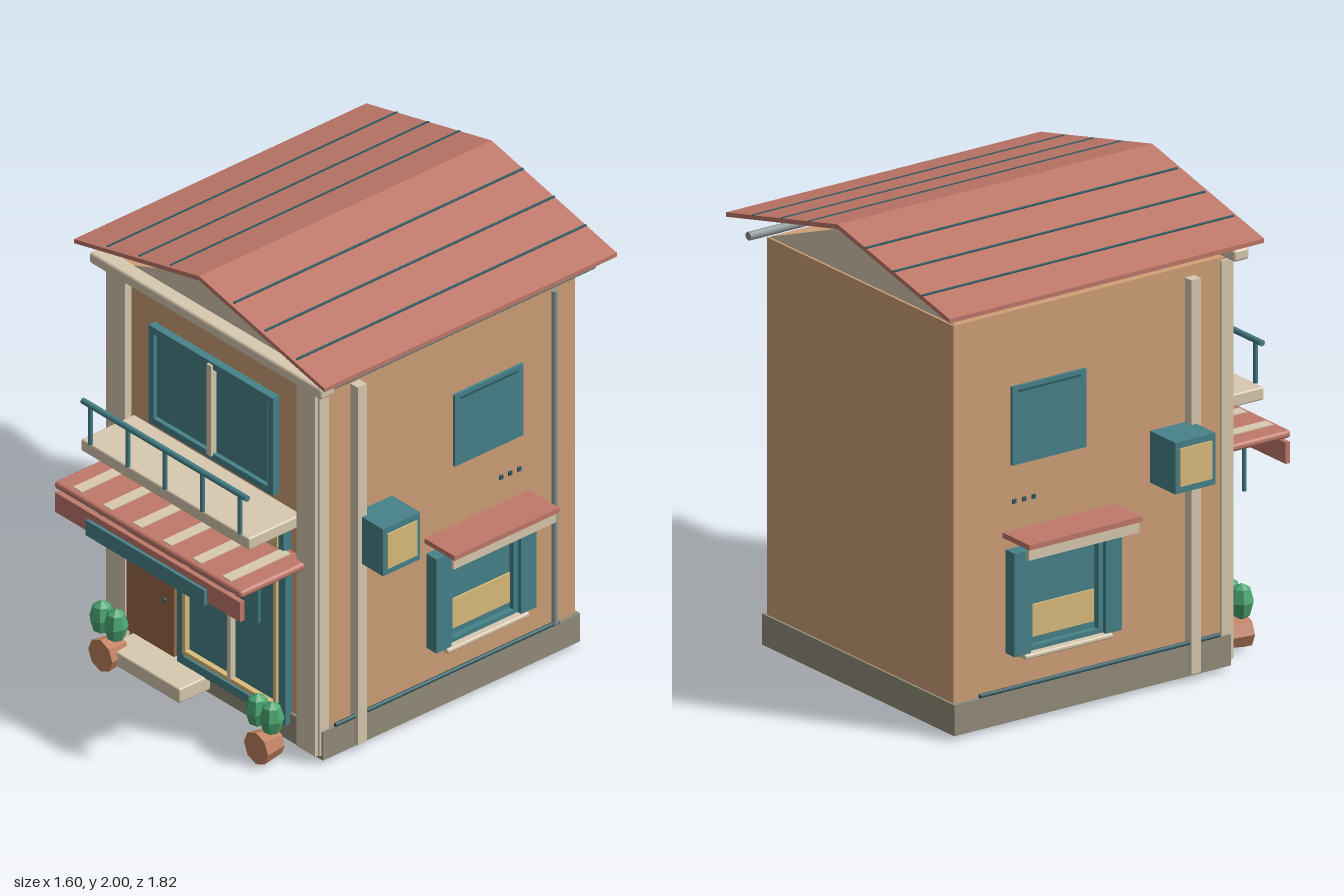
import * as THREE from 'three';
import { RoundedBoxGeometry } from 'three/addons/geometries/RoundedBoxGeometry.js';

const mat = (color, extra = {}) => new THREE.MeshStandardMaterial({ color, ...extra });
const M = {
  wall: mat(0xcfa077), cream: mat(0xd9cab0, { side: THREE.DoubleSide }), stone: mat(0x938d7b),
  teal: mat(0x47828a), dark: mat(0x2f5a62), clay: mat(0xc0796a), yellow: mat(0xdcbd7c),
  door: mat(0x9c6849), pot: mat(0xc08060, { flatShading: true }),
  leaf: mat(0x4ca673, { flatShading: true }), pipe: mat(0x8d9696),
};

export function createModel() {
  const root = new THREE.Group();
  root.name = 'shopHouse';

  const add = (name, geo, m, x = 0, y = 0, z = 0) => {
    const mesh = new THREE.Mesh(geo, m);
    mesh.name = name;
    mesh.position.set(x, y, z);
    root.add(mesh);
    return mesh;
  };
  // Box given by its extents; bevel > 0 rounds the edges
  const box = (name, m, x0, x1, y0, y1, z0, z1, bevel = 0) => {
    const s = [Math.abs(x1 - x0), y1 - y0, Math.abs(z1 - z0)];
    const geo = bevel ? new RoundedBoxGeometry(...s, 2, bevel) : new THREE.BoxGeometry(...s);
    return add(name, geo, m, (x0 + x1) / 2, (y0 + y1) / 2, (z0 + z1) / 2);
  };
  // Round bar along an axis
  const bar = (name, m, r, len, axis, x, y, z) => {
    const mesh = add(name, new THREE.CylinderGeometry(r, r, len, 10), m, x, y, z);
    if (axis === 'x') mesh.rotation.z = Math.PI / 2;
    if (axis === 'z') mesh.rotation.x = Math.PI / 2;
    return mesh;
  };
  // Four bars around a rectangle on the front wall
  const frame = (name, m, x0, x1, y0, y1, w, z0, z1) => {
    box(name, m, x0, x0 + w, y0, y1, z0, z1);
    box(name, m, x1 - w, x1, y0, y1, z0, z1);
    box(name, m, x0 + w, x1 - w, y1 - w, y1, z0, z1);
    box(name, m, x0 + w, x1 - w, y0, y0 + w, z0, z1);
  };

  // Walls, plinth and cornice
  box('walls', M.wall, -0.62, 0.62, 0.1, 1.735, -0.8, 0.53);
  box('plinth', M.stone, -0.64, 0.64, 0.02, 0.15, -0.81, 0.54);
  box('cornice', M.cream, -0.69, 0.69, 1.73, 1.78, 0.52, 0.595, 0.012);

  // Gables at both ends
  const tri = new THREE.Shape([[-0.62, 1.735], [0.62, 1.735], [0, 1.967]].map(p => new THREE.Vector2(...p)));
  for (const [name, z] of [['frontGable', 0.53], ['backGable', -0.79]])
    add(name, new THREE.ShapeGeometry(tri), M.cream, 0, 0, z);

  // Pitched roof with seams
  const chevron = new THREE.Shape([[-0.745, 1.808], [0, 1.98], [0.745, 1.808], [0.745, 1.826], [0, 2], [-0.745, 1.826]]
    .map(p => new THREE.Vector2(...p)));
  add('roof', new THREE.ExtrudeGeometry(chevron, { depth: 1.535, bevelEnabled: false }), M.clay, 0, 0, -0.91);
  const pitch = Math.atan2(0.174, 0.745);
  for (const s of [-1, 1]) for (const x of [0.188, 0.373, 0.562]) {
    const seam = add('roofSeam', new THREE.BoxGeometry(0.01, 0.008, 1.52), M.dark, s * x, 2 - x * 0.2336, -0.15);
    seam.rotation.z = -s * pitch;
  }

  // Parts repeated on both sides
  for (const s of [-1, 1]) {
    const side = (name, m, x0, x1, ...rest) => box(name, m, s * x0, s * x1, ...rest);
    side('cornerPilaster', M.cream, 0.51, 0.622, 0.04, 1.725, 0.5, 0.565);
    side('pilasterEdge', M.cream, 0.595, 0.632, 0.04, 1.725, 0.5, 0.55);
    side('sideStrip', M.cream, 0.61, 0.663, 0.035, 1.69, 0.33, 0.377);
    bar('baseRail', M.dark, 0.009, 1.17, 'z', s * 0.645, 0.163, -0.105);

    // Projecting lamp box
    side('lampBox', M.teal, 0.62, 0.788, 0.866, 1.083, 0.16, 0.355);
    side('lampPanel', M.yellow, 0.78, 0.795, 0.895, 1.055, 0.18, 0.335);

    // Lower side window
    side('sideWindowGlass', M.teal, 0.61, 0.635, 0.305, 0.74, -0.545, -0.02);
    for (const [a, b] of [[-0.1, -0.02], [-0.545, -0.465]])
      side('sideShutter', M.teal, 0.62, 0.68, 0.305, 0.74, a, b);
    for (const [a, b] of [[-0.122, -0.1], [-0.465, -0.443]])
      side('sideWindowJamb', M.teal, 0.62, 0.66, 0.305, 0.74, a, b);
    side('sideWindowHead', M.teal, 0.62, 0.66, 0.715, 0.74, -0.465, -0.1);
    side('sideWindowFoot', M.teal, 0.62, 0.66, 0.305, 0.325, -0.465, -0.1);
    side('sideWindowBlind', M.yellow, 0.62, 0.643, 0.355, 0.49, -0.44, -0.13);
    side('sideSill', M.cream, 0.61, 0.692, 0.285, 0.306, -0.5, -0.07, 0.008);
    side('sideAwning', M.clay, 0.61, 0.8, 0.793, 0.815, -0.56, -0.01);
    side('sideAwningValance', M.cream, 0.772, 0.788, 0.745, 0.793, -0.555, -0.015);

    // Upper side window and vents
    side('upperSideWindow', M.teal, 0.61, 0.632, 1.09, 1.42, -0.52, -0.16);
    side('upperSideWindowBar', M.dark, 0.62, 0.637, 1.395, 1.402, -0.49, -0.19);
    for (const z of [-0.41, -0.457, -0.505])
      side('vent', M.dark, 0.61, 0.627, 0.926, 0.944, z - 0.009, z + 0.009);

    // Awning bracket
    bar('awningBracket', M.teal, 0.009, 0.21, 'y', s * 0.47, 0.765, 0.73);

    // Plant in a tilted octagonal pot
    const x = s * 0.463;
    const pot = add('plantPot', new THREE.CylinderGeometry(0.072, 0.058, 0.1, 8), M.pot, x, 0.074, 0.685);
    pot.rotation.x = Math.PI / 2;
    for (const d of [-0.042, 0.042]) {
      const leaf = add('plantLeaves', new THREE.SphereGeometry(0.05, 7, 4), M.leaf, x + d, 0.216, 0.69);
      leaf.scale.set(1, 1.55, 1.05);
      leaf.rotation.y = d * 10;
    }
  }

  // Gutter and downpipe
  bar('gutter', M.pipe, 0.018, 1.4, 'z', 0.65, 1.745, -0.17);
  bar('downpipe', M.pipe, 0.013, 1.54, 'y', 0.648, 0.935, -0.67);

  // Upper front window
  box('upperWindowPanel', M.teal, -0.37, 0.37, 1.13, 1.58, 0.52, 0.545);
  frame('upperWindowFrame', M.teal, -0.37, 0.37, 1.13, 1.58, 0.03, 0.53, 0.565);
  for (const s of [-1, 1])
    box('upperWindowPane', M.teal, s * 0.033, s * 0.325, 1.175, 1.55, 0.53, 0.555);
  box('upperWindowMullion', M.cream, -0.013, 0.013, 1.15, 1.57, 0.53, 0.575);

  // Balcony
  box('balconySlab', M.cream, -0.5, 0.5, 1.035, 1.09, 0.52, 0.805, 0.008);
  bar('balconyRail', M.teal, 0.013, 0.98, 'x', 0, 1.27, 0.803);
  for (const x of [-0.445, -0.222, 0, 0.222, 0.445])
    bar('balconyPost', M.teal, 0.01, 0.18, 'y', x, 1.18, 0.803);

  // Transom panel with vents
  box('transomFrame', M.teal, -0.44, 0.44, 0.875, 1.02, 0.52, 0.57);
  box('transomPanel', M.yellow, -0.41, 0.41, 0.91, 1.0, 0.53, 0.578);
  for (const x of [-0.19, 0, 0.19])
    box('transomVent', M.dark, x - 0.04, x + 0.04, 0.947, 0.963, 0.56, 0.587);

  // Front awning with stripes, fascia and blank sign
  box('awning', M.clay, -0.557, 0.557, 0.872, 0.905, 0.53, 0.897, 0.014);
  for (let i = 0; i < 6; i++) {
    const x = -0.444 + i * 0.1776;
    box('awningStripe', M.cream, x - 0.026, x + 0.026, 0.9, 0.909, 0.56, 0.872);
  }
  box('awningFascia', M.clay, -0.55, 0.55, 0.765, 0.855, 0.873, 0.895);
  box('signBoard', M.teal, -0.353, 0.353, 0.755, 0.825, 0.89, 0.91);

  // Shopfront
  box('shopGlass', M.teal, -0.2, 0.445, 0.1, 0.865, 0.52, 0.548);
  frame('shopFrame', M.teal, -0.2, 0.445, 0.1, 0.865, 0.04, 0.53, 0.565);
  frame('shopTrim', M.yellow, -0.163, 0.397, 0.157, 0.8, 0.018, 0.53, 0.572);
  box('shopMullion', M.cream, 0.108, 0.13, 0.17, 0.79, 0.53, 0.575);

  // Door and step
  box('door', M.door, -0.51, -0.23, 0.1, 0.725, 0.52, 0.555);
  add('doorKnob', new THREE.SphereGeometry(0.01, 8, 6), M.dark, -0.28, 0.345, 0.56);
  box('doorStep', M.cream, -0.475, -0.033, 0.035, 0.102, 0.53, 0.7, 0.008);

  return root;
}
